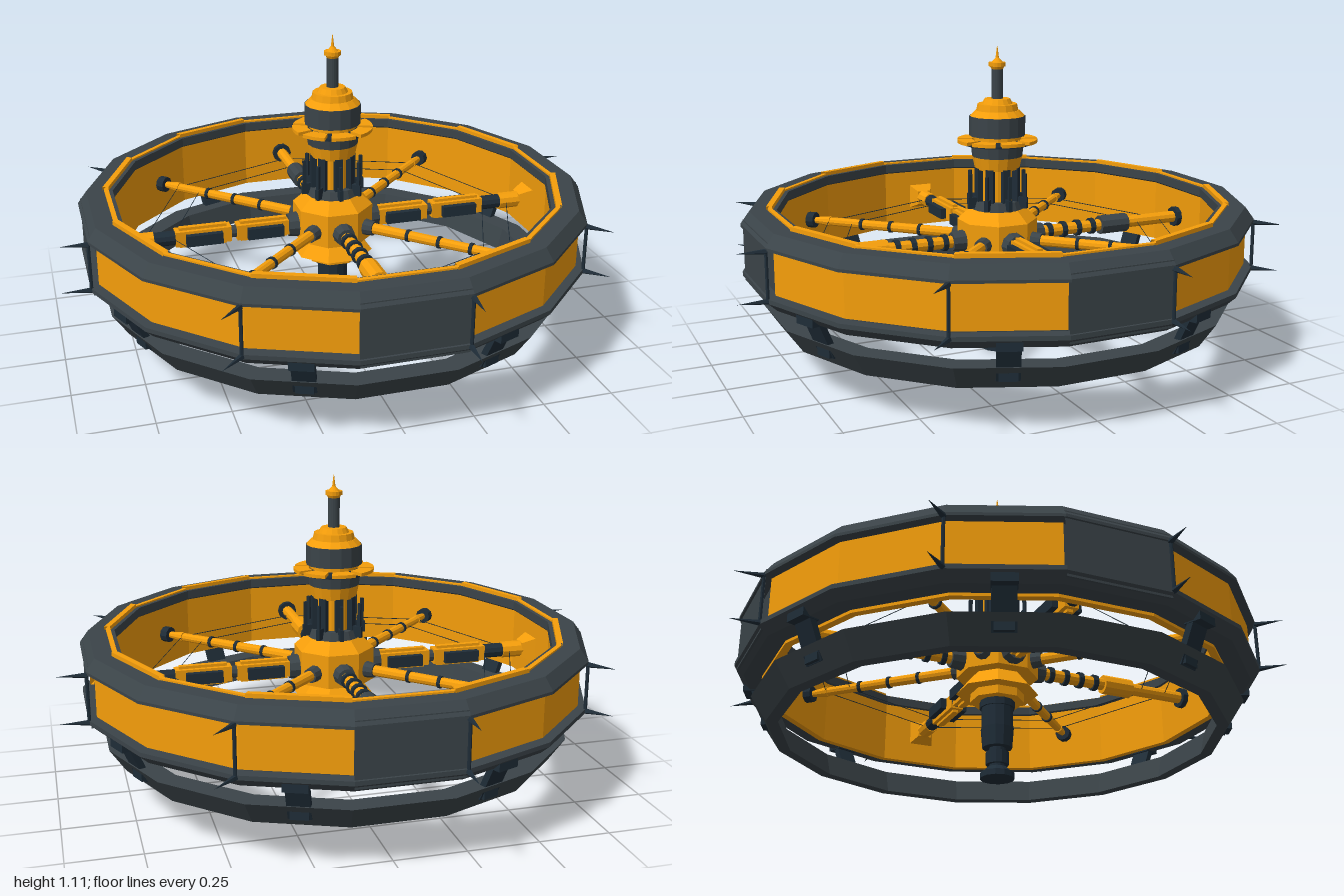
import * as THREE from 'three';

const mat = (color) => new THREE.MeshStandardMaterial({ color, flatShading: true, side: THREE.DoubleSide });
const amber = mat(0xf59e0b), dark = mat(0x3b4449), navy = mat(0x1f2d38);
const STEP = Math.PI / 8;          // the wheel has sixteen sides
const CORNER = 1 / Math.cos(STEP / 2);

export function createModel() {
  const model = new THREE.Group();
  model.name = 'wheelStation';

  const add = (parent, name, geometry, material, x = 0, y = 0, z = 0) => {
    const mesh = new THREE.Mesh(geometry, material);
    mesh.name = name;
    mesh.position.set(x, y, z);
    parent.add(mesh);
    return mesh;
  };
  const group = (name, angle = 0, y = 0) => {
    const g = new THREE.Group();
    g.name = name;
    g.rotation.y = angle;
    g.position.y = y;
    model.add(g);
    return g;
  };
  // Sixteen-sided band from a closed [radius to flat, height] profile
  const band = (name, profile, material, first = 0, count = 16) => {
    const pts = [...profile, profile[0]].map(([r, y]) => new THREE.Vector2(r * CORNER, y));
    return add(model, name, new THREE.LatheGeometry(pts, count, (first - 0.5) * STEP, count * STEP), material);
  };
  const box = (r0, r1, y0, y1) => [[r0, y0], [r1, y0], [r1, y1], [r0, y1]];
  // Upright cylinder between two heights
  const drum = (parent, name, rTop, rBottom, y0, y1, material, sides = 16) =>
    add(parent, name, new THREE.CylinderGeometry(rTop, rBottom, y1 - y0, sides), material, 0, (y0 + y1) / 2, 0);
  // Cylinder lying along local x
  const rod = (parent, name, a, b, rA, rB, material, sides = 10) =>
    add(parent, name, new THREE.CylinderGeometry(rB, rA, b - a, sides).rotateZ(-Math.PI / 2), material, (a + b) / 2, 0, 0);

  // Main wheel
  band('lowerRim', [[0.79, 0.305], [0.86, 0.305], [0.892, 0.335], [0.892, 0.35], [0.79, 0.35]], dark);
  band('upperRim', [[0.79, 0.51], [0.892, 0.51], [0.892, 0.52], [0.862, 0.562], [0.77, 0.562], [0.77, 0.53]], dark);
  band('wheelWall', box(0.79, 0.85, 0.33, 0.53), dark);
  band('innerWall', box(0.775, 0.8, 0.295, 0.55), amber);
  band('innerTrim', box(0.784, 0.8, 0.55, 0.568), amber);
  for (let q = 0; q < 4; q++) {
    band('outerPanel', box(0.84, 0.865, 0.358, 0.505), amber, q * 4 + 1, 3);
    band('outerBlock', box(0.84, 0.884, 0.32, 0.535), dark, q * 4, 1);
    for (const s of [1, 3]) band('raisedTrim', box(0.784, 0.805, 0.555, 0.576), amber, q * 4 + s, 1);
  }

  // Lower ring
  band('lowerRing', [[0.735, 0.147], [0.775, 0.147], [0.83, 0.23], [0.755, 0.23]], dark);

  for (let i = 0; i < 8; i++) {
    // Hangers between the wheel and the lower ring
    const hanger = group('hanger', (i * 2 + 1) * STEP);
    const leg = add(hanger, 'hangerLeg', new THREE.BoxGeometry(0.075, 0.15, 0.022), navy, 0, 0.25, 0.822);
    leg.rotation.x = 0.42;
    add(hanger, 'hangerTop', new THREE.BoxGeometry(0.08, 0.035, 0.06), navy, 0, 0.318, 0.855);
    add(hanger, 'hangerFoot', new THREE.BoxGeometry(0.06, 0.04, 0.03), navy, 0, 0.2, 0.8);

    // Corner posts with a pair of thorn-like antennas
    const post = group('cornerPost', STEP / 2 + i * 2 * STEP);
    drum(post, 'postRod', 0.006, 0.006, 0.34, 0.515, navy, 6).position.z = 0.908;
    for (const y of [0.342, 0.508]) {
      const thorn = add(post, 'antenna', new THREE.ConeGeometry(0.01, 0.1, 5).rotateX(Math.PI / 2), navy, -0.012, y, 0.955);
      thorn.rotation.y = -0.24;
    }
  }

  // Hub
  const hub = group('hub', Math.PI / 8);
  drum(hub, 'hubBody', 0.145, 0.145, 0.37, 0.49, amber, 8);
  drum(hub, 'hubTop', 0.1, 0.145, 0.49, 0.53, amber, 8);
  drum(hub, 'hubBottom', 0.095, 0.145, 0.31, 0.37, amber, 8);
  drum(hub, 'hubBase', 0.095, 0.095, 0.28, 0.31, amber, 8);

  // Tower
  const tower = group('tower');
  const towerParts = [
    ['towerCollar', 0.085, 0.095, 0.53, 0.56, dark], ['towerCore', 0.062, 0.062, 0.56, 0.68, amber],
    ['towerBand', 0.09, 0.08, 0.675, 0.72, amber], ['towerNeck', 0.095, 0.09, 0.72, 0.765, dark],
    ['deckEdge', 0.12, 0.12, 0.762, 0.77, navy],
    ['towerStep', 0.085, 0.085, 0.78, 0.795, amber], ['towerDrum', 0.1, 0.1, 0.795, 0.865, dark],
    ['drumCap', 0.078, 0.098, 0.865, 0.885, amber], ['upperCap', 0.07, 0.075, 0.885, 0.908, amber],
    ['topStep', 0.045, 0.055, 0.908, 0.926, amber], ['mast', 0.021, 0.021, 0.926, 1.03, dark],
    ['mastCap', 0.026, 0.018, 1.025, 1.04, amber], ['mastDisc', 0.03, 0.03, 1.04, 1.054, amber],
    ['mastDome', 0.006, 0.02, 1.054, 1.07, amber], ['spire', 0.001, 0.006, 1.07, 1.11, amber],
  ];
  for (const [name, rt, rb, y0, y1, m] of towerParts) drum(tower, name, rt, rb, y0, y1, m);

  for (let i = 0; i < 8; i++) {
    const bay = group('towerBay', i * Math.PI / 4);
    // Columns around the tower core, fins and the segmented deck
    add(bay, 'column', new THREE.BoxGeometry(0.028, 0.12, 0.02), navy, 0, 0.62, 0.072);
    add(bay, 'fin', new THREE.BoxGeometry(0.01, 0.1, 0.012), navy, 0, 0.61, 0.105);
    add(bay, 'finFoot', new THREE.BoxGeometry(0.014, 0.04, 0.04), navy, 0, 0.555, 0.095);
    const plate = new THREE.Shape();
    plate.absarc(0, 0, 0.143, -0.31, 0.31, false);
    plate.absarc(0, 0, 0.09, 0.31, -0.31, true);
    const deck = new THREE.ExtrudeGeometry(plate, { depth: 0.012, bevelEnabled: false, curveSegments: 3 });
    add(bay, 'deckPlate', deck.rotateX(-Math.PI / 2), amber, 0, 0.77, 0);
  }

  // Docking column under the hub
  const dock = group('dockingColumn');
  const dockParts = [
    ['dockTop', 0.062, 0.062, 0.255, 0.285], ['dockUpper', 0.056, 0.056, 0.18, 0.255],
    ['dockMiddle', 0.058, 0.052, 0.11, 0.18], ['dockNeck', 0.028, 0.028, 0.03, 0.11],
    ['dockCollar', 0.04, 0.04, 0.05, 0.095], ['dockFlare', 0.035, 0.055, 0.02, 0.04],
    ['dockFoot', 0.06, 0.06, 0, 0.02],
  ];
  for (const [name, rt, rb, y0, y1] of dockParts) drum(dock, name, rt, rb, y0, y1, navy, 12);

  const SPOKE_Y = 0.42;
  // Thin diagonal spokes
  for (let i = 0; i < 4; i++) {
    const spoke = group('diagonalSpoke', Math.PI / 4 + i * Math.PI / 2, SPOKE_Y);
    rod(spoke, 'spokeRoot', 0.11, 0.17, 0.032, 0.026, dark);
    rod(spoke, 'spokeRod', 0.12, 0.68, 0.02, 0.016, amber);
    rod(spoke, 'spokeTip', 0.68, 0.745, 0.02, 0.012, amber);
    for (const x of [0.3, 0.42, 0.54]) rod(spoke, 'spokeJoint', x, x + 0.012, 0.022, 0.022, navy);
    rod(spoke, 'spokeFoot', 0.745, 0.782, 0.03, 0.03, navy);
  }

  // Collared spokes to the front and back
  for (const side of [1, -1]) {
    const spoke = group('collaredSpoke', -side * Math.PI / 2, SPOKE_Y);
    rod(spoke, 'spokeRoot', 0.11, 0.18, 0.042, 0.034, dark);
    rod(spoke, 'spokeRod', 0.12, 0.77, 0.022, 0.022, amber);
    for (let x = 0.2; x < 0.42; x += 0.06) rod(spoke, 'collar', x, x + 0.018, 0.03, 0.03, navy);
    rod(spoke, 'sleeve', 0.425, 0.54, 0.035, 0.035, side > 0 ? amber : dark);
    rod(spoke, 'spokeFoot', 0.755, 0.782, 0.038, 0.038, navy);
  }

  // Heavy beams to the left and right
  for (const side of [0, Math.PI]) {
    const beam = group('beam', side, SPOKE_Y);
    rod(beam, 'beamRoot', 0.11, 0.17, 0.05, 0.04, dark);
    rod(beam, 'beamCore', 0.12, 0.67, 0.022, 0.022, dark);
    for (const x of [0.26, 0.48]) {
      add(beam, 'beamBox', new THREE.BoxGeometry(0.2, 0.055, 0.05), amber, x, 0, 0);
      add(beam, 'beamRidge', new THREE.BoxGeometry(0.17, 0.075, 0.02), amber, x, 0, 0);
      for (const z of [-0.042, 0.042]) {
        add(beam, 'pod', new THREE.BoxGeometry(0.13, 0.04, 0.022), navy, x, 0, z);
        add(beam, 'podArm', new THREE.BoxGeometry(0.06, 0.022, 0.03), dark, x, 0, z * 0.7);
      }
    }
    rod(beam, 'beamSleeve', 0.58, 0.66, 0.026, 0.026, navy);
    rod(beam, 'beamEnd', 0.655, 0.735, 0.03, 0.03, amber);
    const foot = new THREE.CylinderGeometry(0.07, 0.038, 0.05, 4).rotateY(Math.PI / 4).rotateZ(-Math.PI / 2);
    add(beam, 'beamFoot', foot, amber, 0.755, 0, 0);
  }

  // Tension wires linking the spokes
  for (const r of [0.69, 0.59]) {
    add(model, 'tensionWire', new THREE.TorusGeometry(r, 0.0015, 4, 8).rotateX(Math.PI / 2), navy, 0, SPOKE_Y, 0);
  }

  model.position.set(-0.008, 0, -0.005);
  return model;
}
